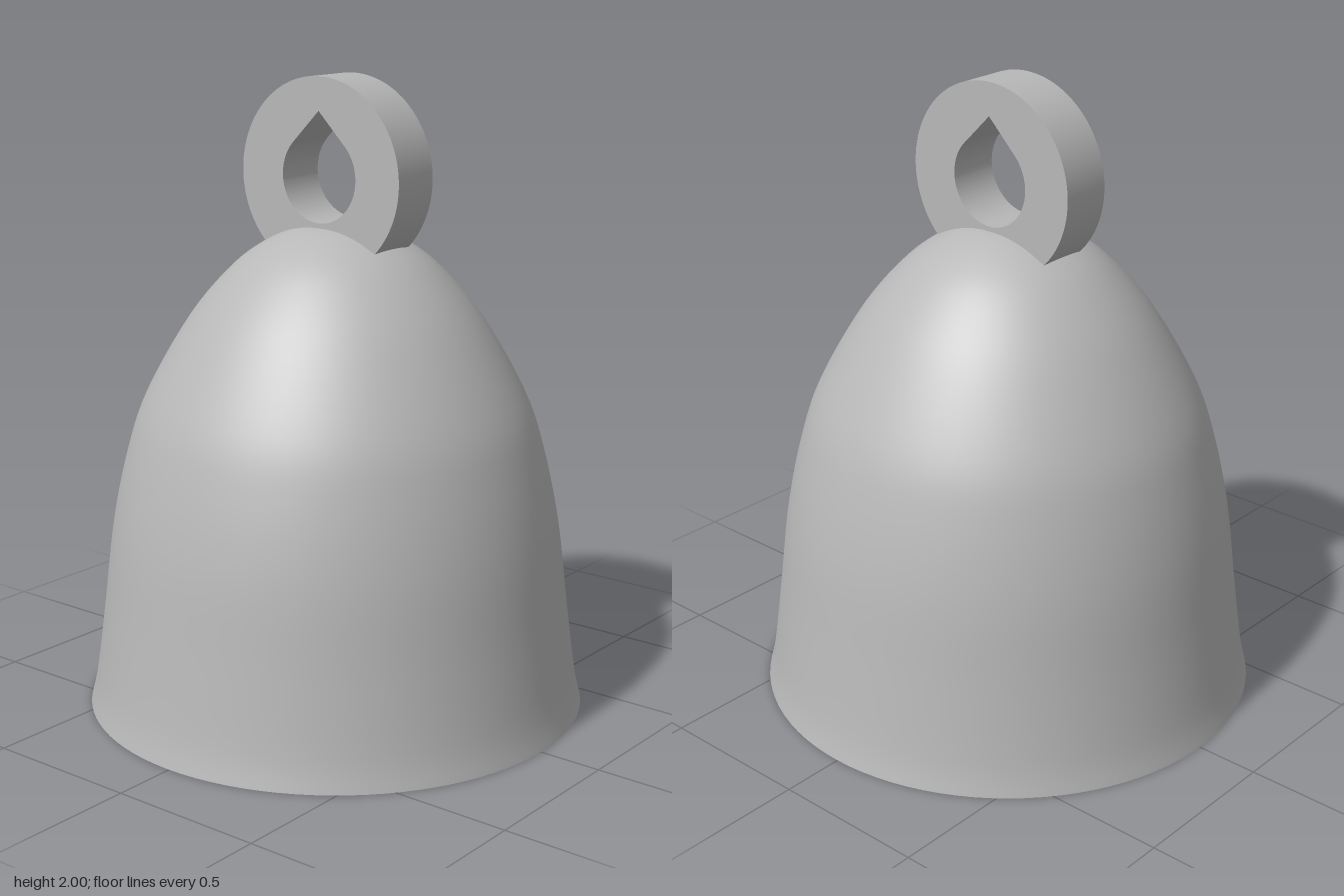
import * as THREE from 'three';
import { toCreasedNormals } from 'three/addons/utils/BufferGeometryUtils.js';

const metal = new THREE.MeshStandardMaterial({ color: 0xb8b8b8 });
metal.name = 'grey metal';

// Profile points [radius, height]; the outer one runs up, the inner one down
const outerProfile = [[0.797, 0], [0.775, 0.1], [0.744, 0.33], [0.71, 0.6], [0.66, 0.83], [0.598, 1.01],
  [0.464, 1.245], [0.335, 1.4], [0.227, 1.483], [0.11, 1.533], [0, 1.542]];
const innerProfile = [[0, 1.44], [0.13, 1.41], [0.26, 1.335], [0.4, 1.18], [0.505, 0.98], [0.563, 0.8],
  [0.612, 0.58], [0.645, 0.32], [0.675, 0.1], [0.697, 0]];

const toPoints = (list) => list.map(([r, y]) => new THREE.Vector2(r, y));
const smoothProfile = (list) =>
  new THREE.SplineCurve(toPoints(list)).getPoints(48).map((p) => p.setX(Math.max(0, p.x)));

function createModel() {
  const group = new THREE.Group();
  const add = (name, geometry) => {
    const mesh = new THREE.Mesh(geometry, metal);
    mesh.name = name;
    group.add(mesh);
    return mesh;
  };

  // Hollow bell: outside, inside and the flat rim between them
  add('bellOutside', new THREE.LatheGeometry(smoothProfile(outerProfile), 96));
  add('bellInside', new THREE.LatheGeometry(smoothProfile(innerProfile), 96));
  add('bellRim', new THREE.LatheGeometry(toPoints([[0.697, 0], [0.797, 0]]), 96));

  // Hanging ring, its foot cut off inside the wall of the crown
  const radius = 0.305, holeRadius = 0.142, depth = 0.17;
  const cut = Math.asin(0.245 / radius);
  const ring = new THREE.Shape();
  ring.absarc(0, 0, radius, -cut, Math.PI + cut, false);
  ring.closePath();

  // Teardrop hole with a right-angled point at the top
  const hole = new THREE.Path();
  hole.absarc(0, 0, holeRadius, Math.PI * 0.75, Math.PI * 2.25, false);
  hole.lineTo(0, holeRadius * Math.SQRT2);
  hole.closePath();
  ring.holes.push(hole);

  const ringGeometry = new THREE.ExtrudeGeometry(ring, { depth, bevelEnabled: false, curveSegments: 64 });
  ringGeometry.translate(0, 1.695, -depth / 2);
  add('hangingRing', toCreasedNormals(ringGeometry, 0.5));

  return group;
}

export { createModel };
